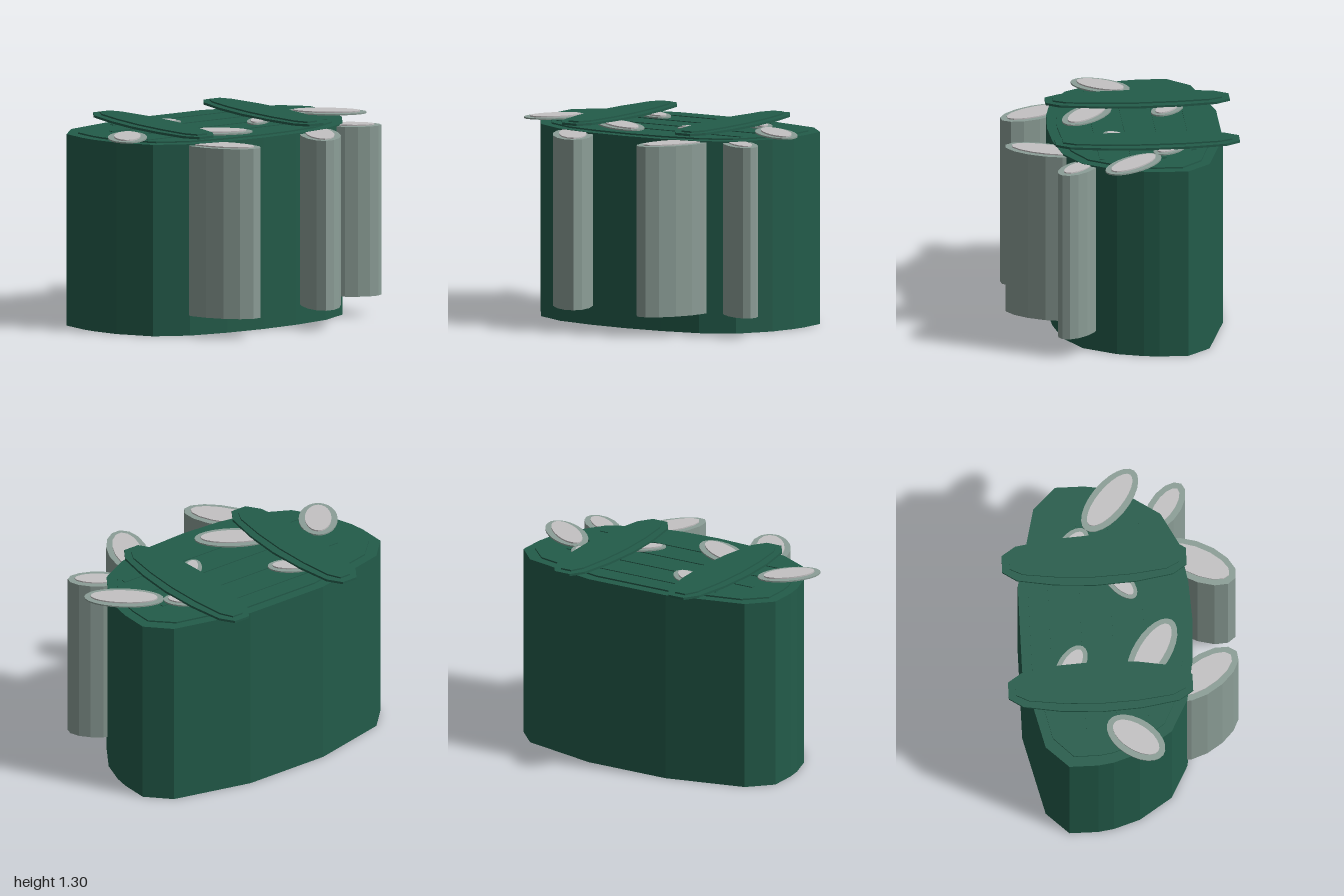
import * as THREE from 'three';

const mat = (name, color) => Object.assign(new THREE.MeshStandardMaterial({ color }), { name });

export function createModel() {
  const green = mat('deep green', 0x235c4a);
  const grey = mat('sage grey', 0x8c9e97);
  const pale = mat('pale grey', 0xc4c2c3);
  const model = new THREE.Group();

  // Upright prism over an outline of [x, z] points
  function prism(parent, name, points, y0, y1, material) {
    const shape = new THREE.Shape(points.map(([x, z]) => new THREE.Vector2(x, -z)));
    const geo = new THREE.ExtrudeGeometry(shape, { depth: y1 - y0, bevelEnabled: false });
    geo.rotateX(-Math.PI / 2);
    geo.translate(0, y0, 0);
    const mesh = new THREE.Mesh(geo, material);
    mesh.name = name;
    parent.add(mesh);
  }

  // Half outline given as [offset from cx, z], mirrored across x = cx
  const mirrored = (half, cx) => [
    ...half.map(([d, z]) => [cx + d, z]),
    ...half.filter(([d]) => d > 0).reverse().map(([d, z]) => [cx - d, z]),
  ];

  // Ellipse with its long axis along direction (dx, dz)
  function ellipse(cx, cz, a, b, dx, dz, sides) {
    const l = Math.hypot(dx, dz), ux = dx / l, uz = dz / l;
    return Array.from({ length: sides }, (_, i) => {
      const t = (i / sides) * Math.PI * 2, p = a * Math.cos(t), q = b * Math.sin(t);
      return [cx + p * ux - q * uz, cz + p * uz + q * ux];
    });
  }

  // Body and inset lid
  const body = mirrored([
    [0.29, -0.655], [0.81, -0.53], [0.95, -0.385], [0.95, -0.2], [0.935, -0.1],
    [0.88, 0.07], [0.74, 0.28], [0.53, 0.39], [0.27, 0.435], [0, 0.45],
  ], -0.05);
  prism(model, 'body', body, 0, 1.24, green);
  const lid = body.map(([x, z]) => [-0.05 + (x + 0.05) * 0.93, -0.103 + (z + 0.103) * 0.885]);
  prism(model, 'lid', lid, 1.24, 1.25, green);

  // Low ridges across the lid
  for (const z of [-0.45, -0.25, -0.05, 0.15]) {
    const w = z < -0.4 ? 0.55 : 0.7;
    prism(model, 'lidRidge', [[-0.05 - w, z - 0.015], [-0.05 + w, z - 0.015],
      [-0.05 + w, z + 0.015], [-0.05 - w, z + 0.015]], 1.25, 1.255, green);
  }

  // Two long stepped boards across the top
  const boardHalf = [
    [0.055, -0.75], [0.115, -0.66], [0.155, -0.42], [0.17, -0.16],
    [0.155, 0.1], [0.115, 0.34], [0.055, 0.43],
  ];
  for (const cx of [-0.48, 0.38]) {
    const board = new THREE.Group();
    board.name = 'board';
    prism(board, 'boardBase', mirrored(boardHalf, cx), 1.272, 1.287, green);
    const inner = boardHalf.map(([d, z]) => [d * 0.69, -0.16 + (z + 0.16) * 0.92]);
    prism(board, 'boardStep', mirrored(inner, cx), 1.287, 1.297, green);
    model.add(board);
  }

  // Oval pads on the lid: cx, cz, half length, half width, direction
  const pads = [
    [-0.83, 0.05, 0.21, 0.125, 0.6, -0.8],
    [0.79, -0.04, 0.255, 0.12, 0.76, 0.65],
    [-0.25, 0.18, 0.25, 0.12, 0.84, 0.54],
    [-0.32, -0.34, 0.15, 0.085, 0.84, 0.54],
    [0.23, 0.0, 0.14, 0.07, 0.75, -0.66],
    [0.5, -0.29, 0.13, 0.08, 0.75, 0.66],
  ];
  for (const [x, z, a, b, dx, dz] of pads) {
    const rim = Math.min(0.04, b * 0.37);
    const pad = new THREE.Group();
    pad.name = 'ovalPad';
    prism(pad, 'padRim', ellipse(x, z, a, b, dx, dz, 24), 1.256, 1.265, grey);
    prism(pad, 'padCentre', ellipse(x, z, a - rim, b - rim, dx, dz, 24), 1.265, 1.274, pale);
    model.add(pad);
  }

  // Oval columns on the front
  const columns = [
    [-0.408, 0.5, 0.265, 0.13, 0.55, 0.835],
    [0.358, 0.498, 0.27, 0.13, -0.45, 0.89],
    [0.742, 0.31, 0.188, 0.1, 0.8, 0.6],
  ];
  for (const [x, z, a, b, dx, dz] of columns) {
    const column = new THREE.Group();
    column.name = 'column';
    prism(column, 'columnShaft', ellipse(x, z, a, b, dx, dz, 14), 0.13, 1.23, grey);
    prism(column, 'columnCap', ellipse(x, z, a - 0.045, b - 0.04, dx, dz, 14), 1.23, 1.238, pale);
    model.add(column);
  }

  return model;
}
